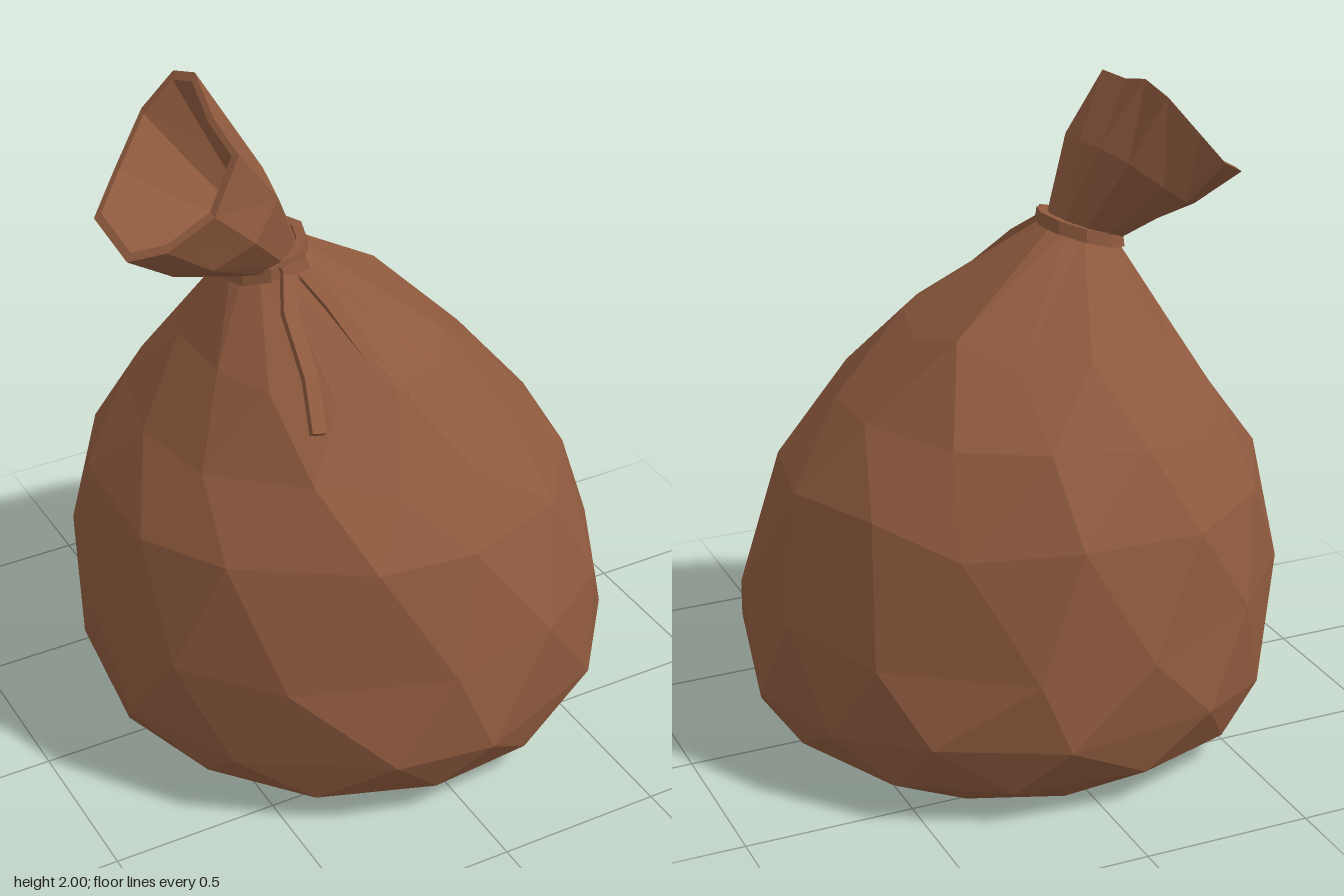
import * as THREE from 'three';

const leather = new THREE.MeshStandardMaterial({ color: 0x8f5a3e, flatShading: true });
leather.name = 'brown cloth';

// Skins a stack of closed rings with triangles; `stagger` marks rings turned by half a step.
function loft(rings, { stagger = false, closed = false, base = false } = {}) {
  const pos = [];
  const tri = (...pts) => pts.forEach((p) => pos.push(p.x, p.y, p.z));
  const n = rings[0].length;
  const last = closed ? rings.length : rings.length - 1;
  for (let k = 0; k < last; k++) {
    const low = rings[k];
    const top = rings[(k + 1) % rings.length];
    for (let j = 0; j < n; j++) {
      const i = (j + 1) % n;
      if (stagger && k % 2 === 0) {
        tri(low[j], top[j], low[i]);
        tri(low[i], top[j], top[i]);
      } else {
        tri(low[j], top[j], top[i]);
        tri(low[j], top[i], low[i]);
      }
    }
  }
  if (base) {
    const c = new THREE.Vector3();
    rings[0].forEach((p) => c.addScaledVector(p, 1 / n));
    for (let j = 0; j < n; j++) tri(c, rings[0][j], rings[0][(j + 1) % n]);
  }
  const g = new THREE.BufferGeometry();
  g.setAttribute('position', new THREE.Float32BufferAttribute(pos, 3));
  g.computeVertexNormals();
  return g;
}

function addMesh(parent, name, geometry) {
  const mesh = new THREE.Mesh(geometry, leather);
  mesh.name = name;
  parent.add(mesh);
  return mesh;
}

// Point on the tilted oval around the neck.
const NECK = new THREE.Vector3(-0.22, 1.52, -0.06);
function neckPoint(angle, rx, rz, lift = 0) {
  const x = rx * Math.cos(angle);
  return new THREE.Vector3(NECK.x + x, NECK.y + lift + 0.3 * x, NECK.z + rz * Math.sin(angle));
}

// Strap made of box pieces joined along a path.
function addStrap(parent, name, points) {
  const strap = new THREE.Group();
  strap.name = name;
  for (let i = 0; i < points.length - 1; i++) {
    const a = new THREE.Vector3(...points[i]);
    const b = new THREE.Vector3(...points[i + 1]);
    const piece = addMesh(strap, 'strapPiece', new THREE.BoxGeometry(0.042, 0.026, a.distanceTo(b) + 0.012));
    piece.position.lerpVectors(a, b, 0.5);
    piece.up.set(0, 0.6, 0.8);
    piece.lookAt(b);
  }
  parent.add(strap);
}

export function createModel() {
  const sack = new THREE.Group();
  sack.name = 'tiedSack';

  let seed = 11;
  const jitter = (amount) => {
    seed = (seed * 16807) % 2147483647;
    return (seed / 2147483647 - 0.5) * 2 * amount;
  };

  // Body: height, then left, right, back and front limits of each ring
  const sides = 13;
  const levels = [
    [0.0, -0.59, 0.59, -0.61, 0.57],
    [0.1, -0.74, 0.74, -0.75, 0.75],
    [0.24, -0.79, 0.79, -0.82, 0.82],
    [0.5, -0.81, 0.78, -0.81, 0.8],
    [0.83, -0.74, 0.66, -0.77, 0.72],
    [1.05, -0.61, 0.49, -0.65, 0.58],
    [1.26, -0.46, 0.28, -0.47, 0.41],
    [1.52, -0.31, -0.12, -0.17, 0.05],
  ];
  const bodyRings = levels.map(([y, x0, x1, z0, z1], k) => {
    const ring = [];
    const loose = k > 0 && k < levels.length - 1;
    for (let j = 0; j < sides; j++) {
      const a = ((j + (k % 2) * 0.5 + (loose ? jitter(0.14) : 0)) / sides) * Math.PI * 2;
      if (k === levels.length - 1) {
        ring.push(neckPoint(a, 0.1, 0.11));
        continue;
      }
      const wobble = k > 2 ? 0.04 : k === 2 ? 0.035 : 0.015;
      ring.push(new THREE.Vector3(
        (x0 + x1) / 2 + ((x1 - x0) / 2) * 1.01 * Math.cos(a),
        y + (loose ? jitter(wobble) : 0),
        (z0 + z1) / 2 + ((z1 - z0) / 2) * 1.01 * Math.sin(a),
      ));
    }
    return ring;
  });
  addMesh(sack, 'sackBody', loft(bodyRings, { stagger: true, base: true }));

  // Open mouth: slanted rim flaring out of the neck, with a thick lip and hollow inside
  const rim = [
    [-0.35, 1.95, -0.08], [-0.37, 1.93, 0.11], [-0.47, 1.79, 0.16], [-0.6, 1.7, 0.13], [-0.68, 1.65, 0.04],
    [-0.67, 1.67, -0.2], [-0.55, 1.74, -0.32], [-0.42, 1.86, -0.41], [-0.33, 1.97, -0.38], [-0.31, 2.0, -0.28],
  ].map((p) => new THREE.Vector3(...p));
  const angles = rim.map((_, i) => ((6 + 36 * i) * Math.PI) / 180);
  const rimCentre = new THREE.Vector3(-0.48, 1.82, -0.12);
  const neckOuter = angles.map((a) => neckPoint(a, 0.1, 0.11, -0.01));
  const neckInner = angles.map((a) => neckPoint(a, 0.03, 0.04, 0.05));
  const bulge = rim.map((p, i) => neckOuter[i].clone().lerp(p, 0.55)
    .add(neckPoint(angles[i], 0.035, 0.035).sub(NECK)));
  const lip = rim.map((p) => p.clone().lerp(rimCentre, 0.1));
  const hollow = lip.map((p, i) => neckInner[i].clone().lerp(p, 0.5));
  addMesh(sack, 'sackMouth', loft([neckOuter, bulge, rim, lip, hollow, neckInner], { base: false }));

  // Tie wrapped around the neck
  const section = [[0.105, -0.022], [0.135, -0.018], [0.13, 0.022], [0.1, 0.024]];
  const tieRings = section.map(([r, lift]) =>
    Array.from({ length: 10 }, (_, j) => neckPoint((j / 10) * Math.PI * 2, r * 0.96, r * 1.04, lift)));
  addMesh(sack, 'neckTie', loft(tieRings, { closed: true }));

  // Knot and two hanging ends
  const knot = addMesh(sack, 'knot', new THREE.BoxGeometry(0.08, 0.055, 0.04));
  knot.position.set(-0.19, 1.515, 0.075);
  knot.rotation.set(-0.3, 0, 0.25);
  addStrap(sack, 'rightTieEnd', [[-0.21, 1.51, 0.08], [-0.255, 1.44, 0.17], [-0.27, 1.31, 0.32], [-0.3, 1.2, 0.42]]);
  addStrap(sack, 'leftTieEnd', [[-0.17, 1.51, 0.08], [-0.13, 1.44, 0.18], [-0.06, 1.28, 0.36], [-0.035, 1.235, 0.42]]);

  return sack;
}
